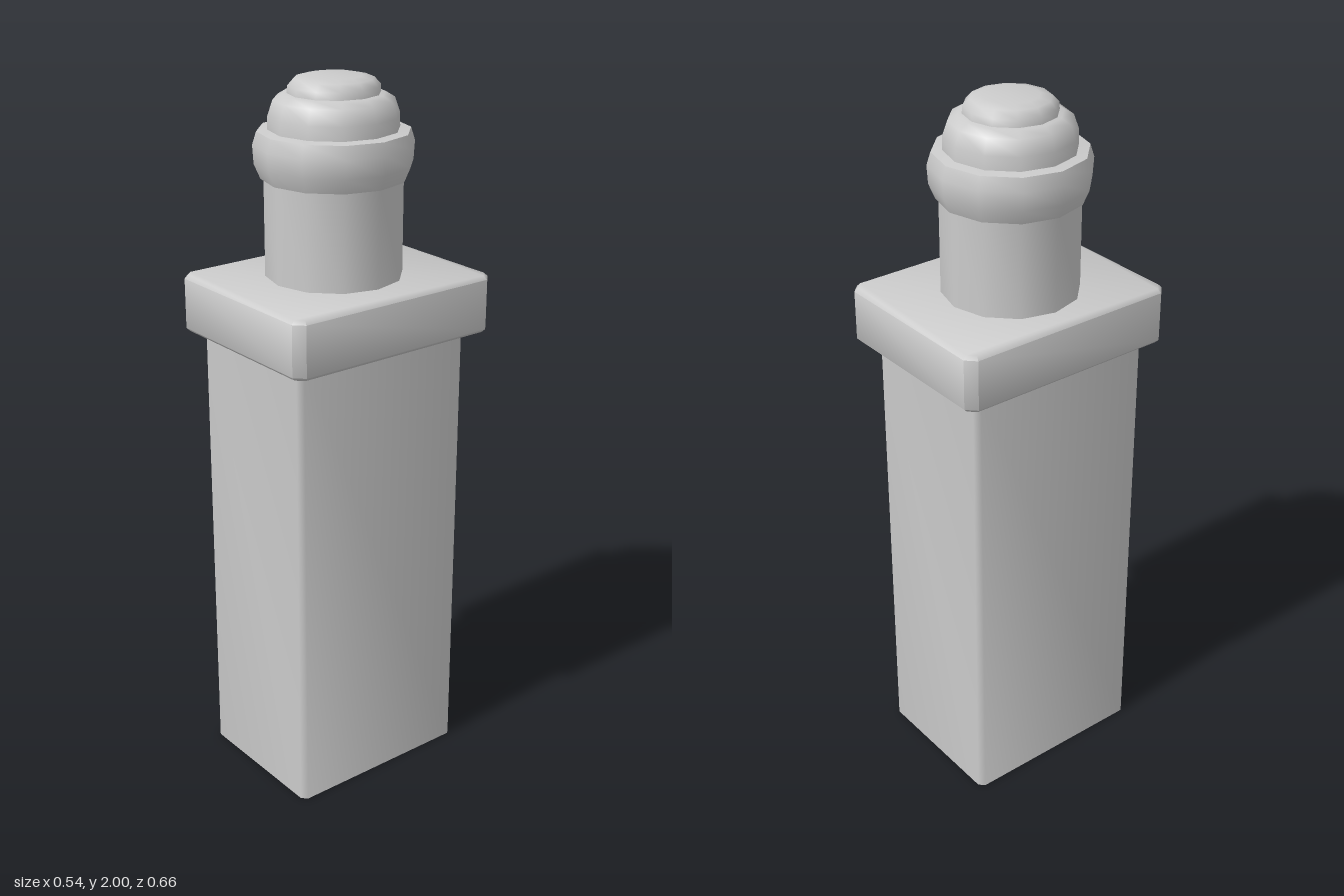
import * as THREE from 'three';
import { toCreasedNormals } from 'three/addons/utils/BufferGeometryUtils.js';

const material = new THREE.MeshStandardMaterial({ color: 0xcccccc });

function addPart(group, name, geometry, crease) {
  const mesh = new THREE.Mesh(toCreasedNormals(geometry, crease), material);
  mesh.name = name;
  group.add(mesh);
  return mesh;
}

// Upright block with chamfered corners and a small bevel at top and bottom
function block(halfX, halfZ, y0, y1, chamfer, bevel) {
  const x = halfX - bevel, z = halfZ - bevel, c = chamfer;
  const outline = [
    [x - c, -z], [x, -z + c], [x, z - c], [x - c, z],
    [-x + c, z], [-x, z - c], [-x, -z + c], [-x + c, -z],
  ].map(([a, b]) => new THREE.Vector2(a, b));
  const geometry = new THREE.ExtrudeGeometry(new THREE.Shape(outline), {
    depth: y1 - y0 - 2 * bevel,
    bevelEnabled: bevel > 0,
    bevelSize: bevel,
    bevelThickness: bevel,
    bevelSegments: 1,
  });
  return geometry.rotateX(-Math.PI / 2).translate(0, y0 + bevel, 0);
}

// Twelve-sided turned part from [radius, height] pairs, bottom to top
function turned(profile) {
  return new THREE.LatheGeometry(profile.map(([r, y]) => new THREE.Vector2(r, y)), 12);
}

export function createModel() {
  const group = new THREE.Group();
  group.name = 'post';
  const axisX = -0.01;

  // Tall rectangular post
  addPart(group, 'shaft', block(0.22, 0.283, 0, 1.33, 0.015, 0), 1.0).position.x = axisX;

  // Overhanging slab
  addPart(group, 'capSlab', block(0.268, 0.33, 1.31, 1.47, 0.02, 0.01), 0.9);

  // Turned finial: neck, collar and stepped top
  const finial = new THREE.Group();
  finial.name = 'finial';
  finial.position.x = axisX;
  group.add(finial);
  addPart(finial, 'neck', turned([[0.187, 1.46], [0.187, 1.75]]), 0.8);
  addPart(finial, 'collar', turned([
    [0.18, 1.735], [0.195, 1.735], [0.212, 1.775], [0.215, 1.825], [0.204, 1.86], [0.165, 1.865],
  ]), 0.9);
  addPart(finial, 'upperRing', turned([
    [0.175, 1.86], [0.174, 1.90], [0.16, 1.94], [0.135, 1.955], [0.11, 1.957],
  ]), 0.9);
  addPart(finial, 'topButton', turned([
    [0.124, 1.95], [0.122, 1.975], [0.105, 1.993], [0.075, 2.0], [0, 2.0],
  ]), 0.9);
  return group;
}
